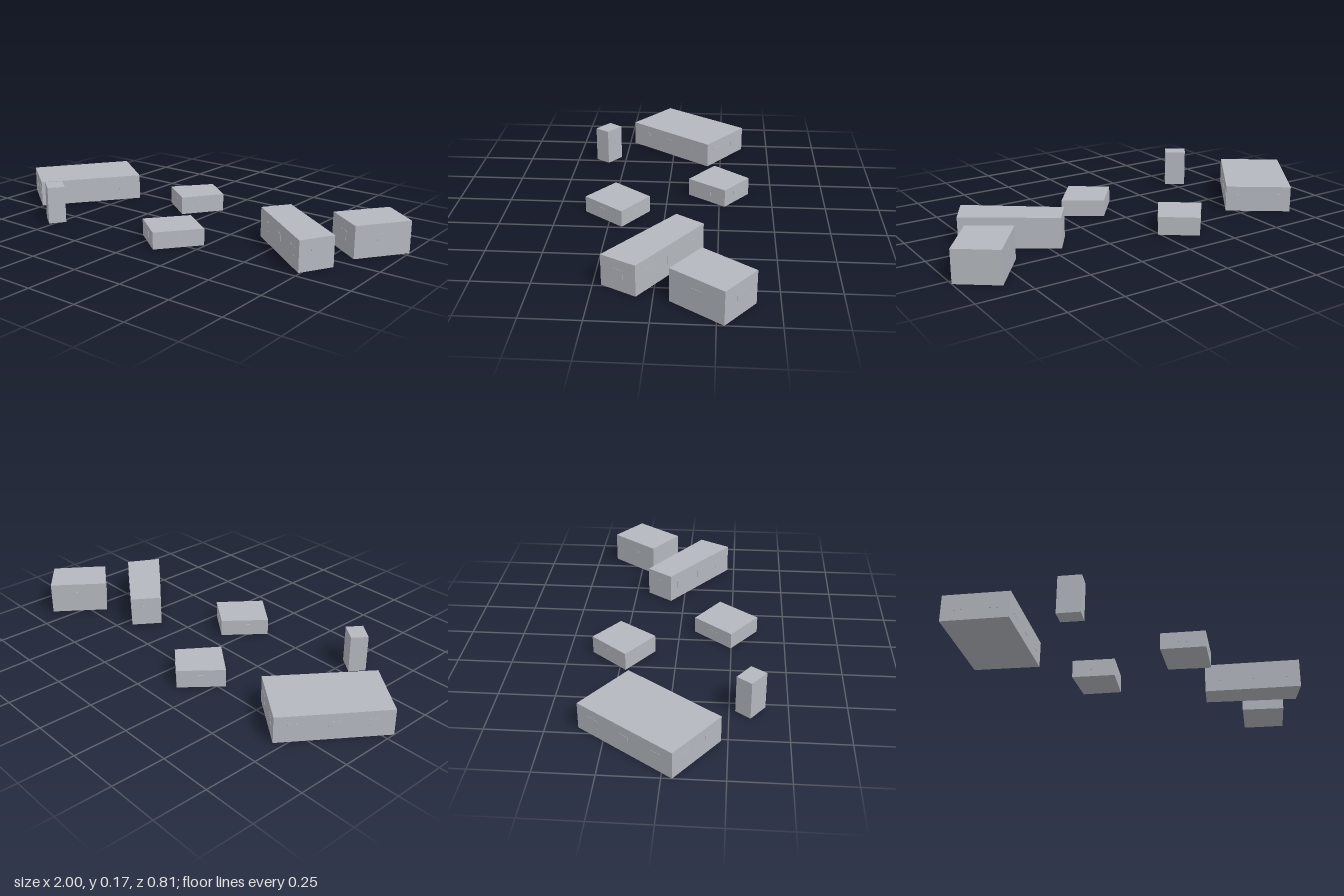
import * as THREE from 'three';

// Footprint corners [x, z] and height of each building
const BUILDINGS = [
  { name: 'longHall', h: 0.122, p: [[-1, 0.043], [-0.711, -0.364], [-0.46, -0.184], [-0.76, 0.222]] },
  { name: 'smallTower', h: 0.175, p: [[-0.604, 0.34], [-0.556, 0.276], [-0.473, 0.336], [-0.52, 0.403]] },
  { name: 'backHouse', h: 0.085, p: [[-0.278, -0.222], [-0.139, -0.39], [0.01, -0.276], [-0.113, -0.102]] },
  { name: 'frontHouse', h: 0.078, p: [[-0.064, 0.248], [0.078, 0.073], [0.243, 0.188], [0.1, 0.371]] },
  { name: 'narrowHall', h: 0.14, p: [[0.372, -0.067], [0.455, -0.187], [0.823, 0.068], [0.742, 0.215]] },
  { name: 'tallHouse', h: 0.148, p: [[0.674, -0.185], [0.838, -0.404], [1, -0.28], [0.845, -0.065]] },
];

export function createModel() {
  const wall = new THREE.MeshStandardMaterial({ color: 0xb4b8bf });
  wall.name = 'wall grey';

  // Upright prism over a footprint
  const prism = (points, height) => {
    const shape = new THREE.Shape(points.map(([x, z]) => new THREE.Vector2(x, -z)));
    return new THREE.ExtrudeGeometry(shape, { depth: height, bevelEnabled: false }).rotateX(-Math.PI / 2);
  };

  const model = new THREE.Group();
  model.name = 'buildings';
  for (const { name, h, p } of BUILDINGS) {
    const building = new THREE.Group();
    building.name = name;
    const add = (part, geometry) => {
      const mesh = new THREE.Mesh(geometry, wall);
      mesh.name = part;
      building.add(mesh);
      return mesh;
    };

    add('walls', prism(p, h));

    // Very shallow window panels, evenly spaced along each wall
    p.forEach(([x0, z0], i) => {
      const [x1, z1] = p[(i + 1) % 4];
      const length = Math.hypot(x1 - x0, z1 - z0);
      if (length < 0.12) return;
      const count = Math.max(1, Math.floor(length / 0.147));
      for (let k = 0; k < count; k++) {
        const t = (k + 0.5) / count;
        const panel = add('window', new THREE.BoxGeometry(0.05, h * 0.3, 0.002));
        panel.position.set(x0 + (x1 - x0) * t, h * 0.54, z0 + (z1 - z0) * t);
        panel.rotation.y = -Math.atan2(z1 - z0, x1 - x0);
      }
    });
    model.add(building);
  }
  return model;
}
